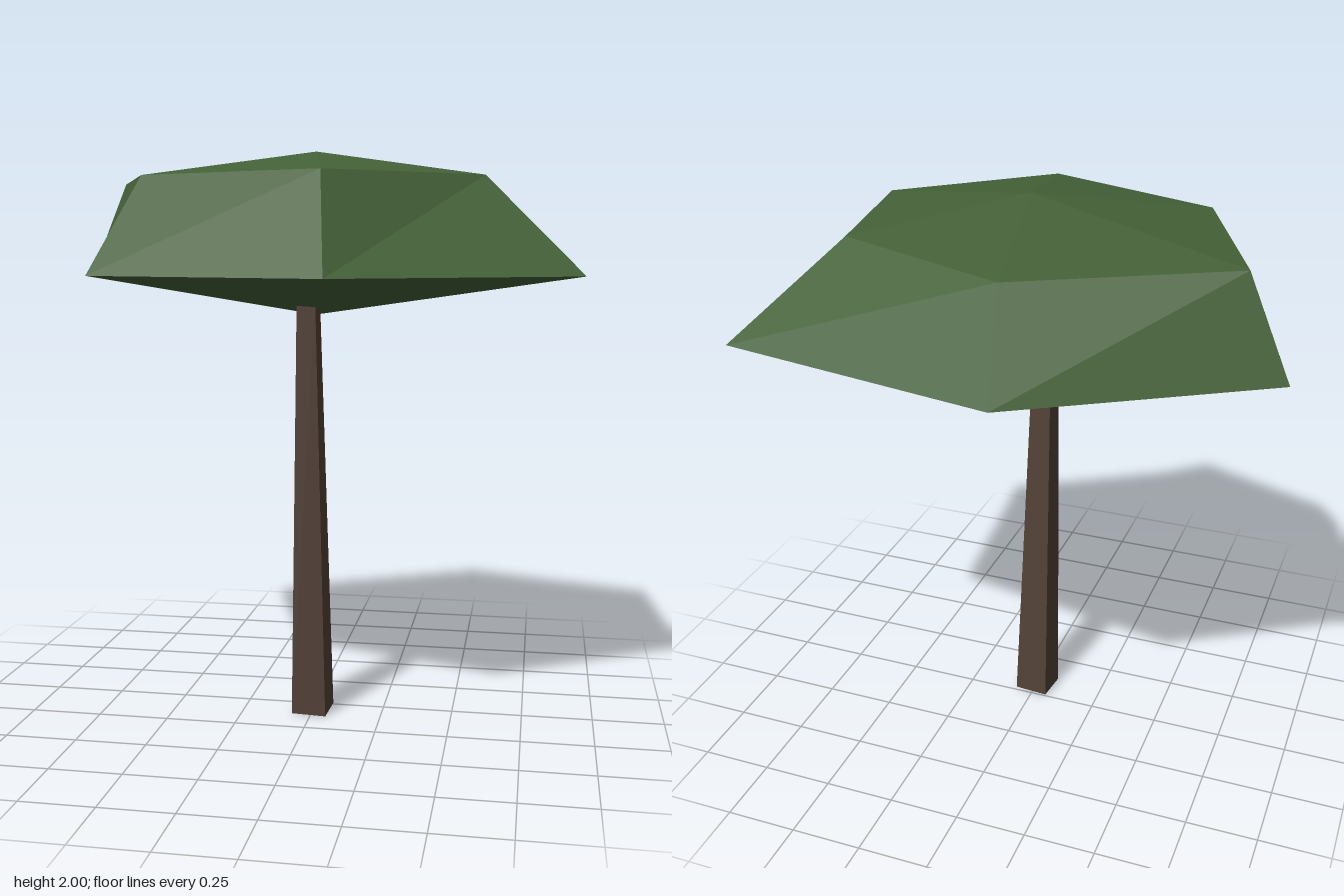
import * as THREE from 'three';

const leafGreen = new THREE.MeshStandardMaterial({ color: 0x456238, flatShading: true });
leafGreen.name = 'leafGreen';
const barkBrown = new THREE.MeshStandardMaterial({ color: 0x524136, flatShading: true });
barkBrown.name = 'barkBrown';

// Irregular six-sided rings as [x, z]
const RIM = [[-0.155, -0.78], [0.825, -0.59], [0.925, 0.295], [0.155, 0.78], [-0.68, 0.48], [-0.93, -0.3]];
const SHOULDER = [[-0.12, -0.605], [0.495, -0.355], [0.595, 0.19], [0.12, 0.615], [-0.52, 0.365], [-0.775, -0.25]];

// Faceted crown: shallow top, sloping sides and shallow pointed underside
function buildCanopy() {
  const top = [0, 2, 0], bottom = [0, 1.435, 0];
  const low = RIM.map(([x, z]) => [x, 1.578, z]);
  const high = SHOULDER.map(([x, z]) => [x, 1.905, z]);
  const corners = [];
  for (let i = 0; i < 6; i++) {
    const n = (i + 1) % 6;
    corners.push(
      top, high[n], high[i],
      low[n], low[i], high[i],
      low[n], high[i], high[n],
      bottom, low[i], low[n]
    );
  }
  const geometry = new THREE.BufferGeometry();
  geometry.setAttribute('position', new THREE.Float32BufferAttribute(corners.flat(), 3));
  geometry.computeVertexNormals();
  return geometry;
}

// Tapered square trunk, slightly twisted and leaning forward
function buildTrunk() {
  const height = 1.5;
  return new THREE.CylinderGeometry(0.046, 0.088, height, 4)
    .rotateY(Math.PI / 4 - 0.08)
    .translate(0, height / 2, 0)
    .rotateX(0.056)
    .translate(-0.002, 0.004, 0.065);
}

export function createModel() {
  const tree = new THREE.Group();
  tree.name = 'tree';
  const canopy = new THREE.Mesh(buildCanopy(), leafGreen);
  canopy.name = 'canopy';
  const trunk = new THREE.Mesh(buildTrunk(), barkBrown);
  trunk.name = 'trunk';
  tree.add(canopy, trunk);
  return tree;
}
